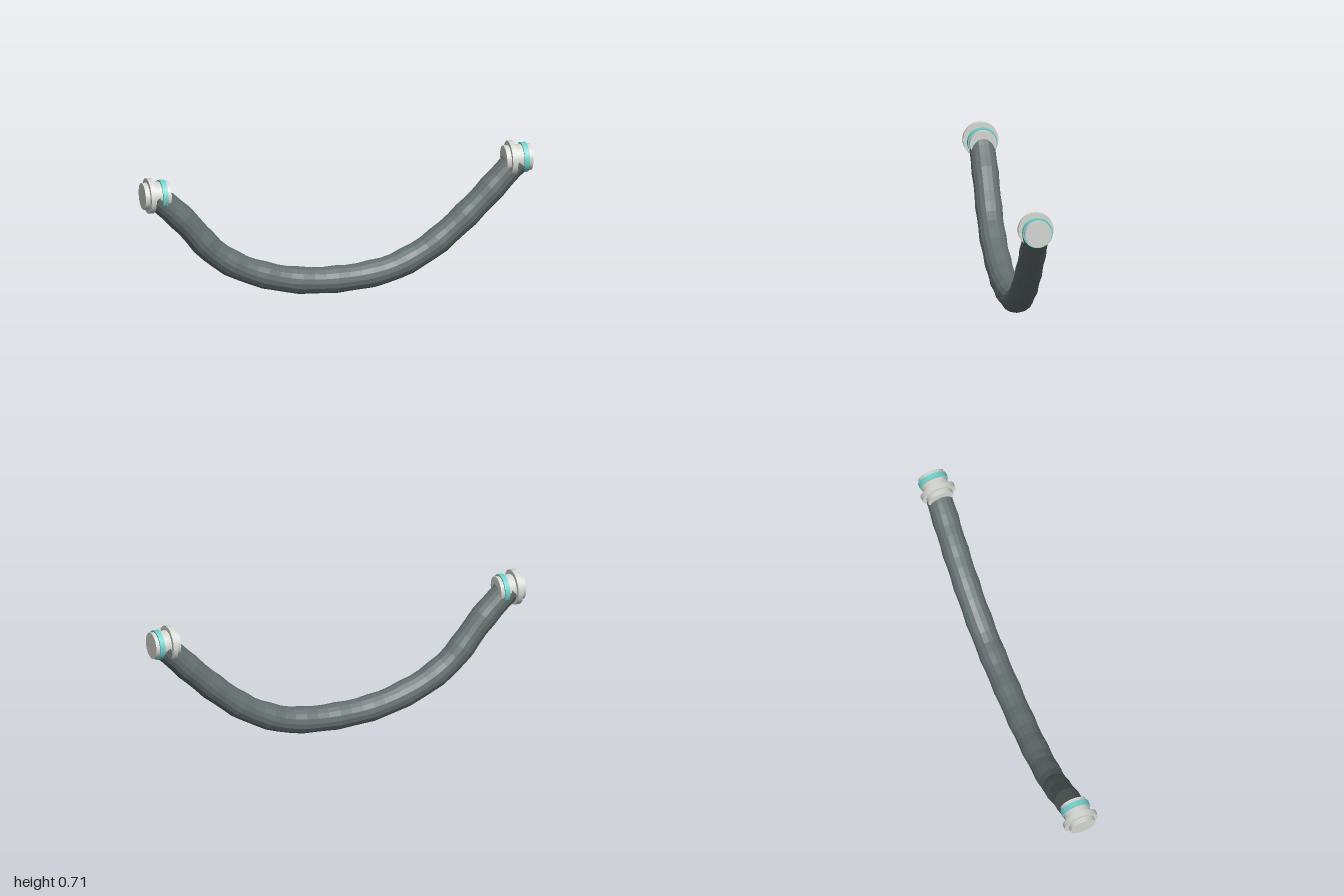
import * as THREE from 'three';

const hoseMat = new THREE.MeshStandardMaterial({ color: 0x667070, flatShading: true });
hoseMat.name = 'hoseGrey';
const metalMat = new THREE.MeshStandardMaterial({ color: 0xd4d6d0 });
metalMat.name = 'paleMetal';
const sealMat = new THREE.MeshStandardMaterial({ color: 0x72d0cc });
sealMat.name = 'tealSeal';

// Sagging hose with a gentle ripple in its radius
function makeHose() {
  const points = [
    [-0.935, 0.607], [-0.79, 0.465], [-0.63, 0.278], [-0.48, 0.176], [-0.286, 0.105],
    [-0.15, 0.08], [0, 0.072], [0.158, 0.08], [0.297, 0.107], [0.473, 0.19],
    [0.612, 0.295], [0.746, 0.418], [0.935, 0.612],
  ].map(([x, y]) => new THREE.Vector3(x, y, 0));
  const path = new THREE.CatmullRomCurve3(points);
  const segments = 36, sides = 16, ripples = 12;
  const geometry = new THREE.TubeGeometry(path, segments, 1, sides, false);
  const pos = geometry.attributes.position;
  const v = new THREE.Vector3();
  for (let i = 0; i <= segments; i++) {
    const t = i / segments;
    const centre = path.getPointAt(t);
    const radius = 0.0665 + 0.0025 * Math.cos(t * ripples * Math.PI * 2);
    for (let j = 0; j <= sides; j++) {
      const k = i * (sides + 1) + j;
      v.fromBufferAttribute(pos, k).sub(centre).multiplyScalar(radius).add(centre);
      pos.setXYZ(k, v.x, v.y, v.z);
    }
  }
  const group = new THREE.Group();
  group.name = 'hose';
  const tube = new THREE.Mesh(geometry, hoseMat);
  tube.name = 'hoseTube';
  group.add(tube);

  // Discs closing the two hose ends
  for (const t of [0, 1]) {
    const cap = new THREE.Mesh(new THREE.CircleGeometry(0.068, sides), hoseMat);
    cap.name = 'hoseEndCap';
    cap.position.copy(path.getPointAt(t));
    const outward = path.getTangentAt(t).multiplyScalar(t ? 1 : -1);
    cap.quaternion.setFromUnitVectors(new THREE.Vector3(0, 0, 1), outward);
    group.add(cap);
  }
  return group;
}

// Disc or cylinder lying along x, between x0 and x1
function disc(name, radius, x0, x1, material) {
  const geometry = new THREE.CylinderGeometry(radius, radius, x1 - x0, 32);
  geometry.rotateZ(-Math.PI / 2);
  const mesh = new THREE.Mesh(geometry, material);
  mesh.name = name;
  mesh.position.x = (x0 + x1) / 2;
  return mesh;
}

// Connector: body, wide flange and coloured seal; both face the same way
function makeFitting(name, x, y) {
  const group = new THREE.Group();
  group.name = name;
  group.add(
    disc('fittingBody', 0.067, 0, 0.134, metalMat),
    disc('fittingFlange', 0.089, 0.024, 0.05, metalMat),
    disc('fittingSeal', 0.075, 0.089, 0.115, sealMat),
  );
  group.position.set(x, y, 0);
  return group;
}

export function createModel() {
  const model = new THREE.Group();
  model.name = 'flexibleHose';
  model.add(
    makeHose(),
    makeFitting('rightFitting', -1, 0.607),
    makeFitting('leftFitting', 0.866, 0.622),
  );
  return model;
}
